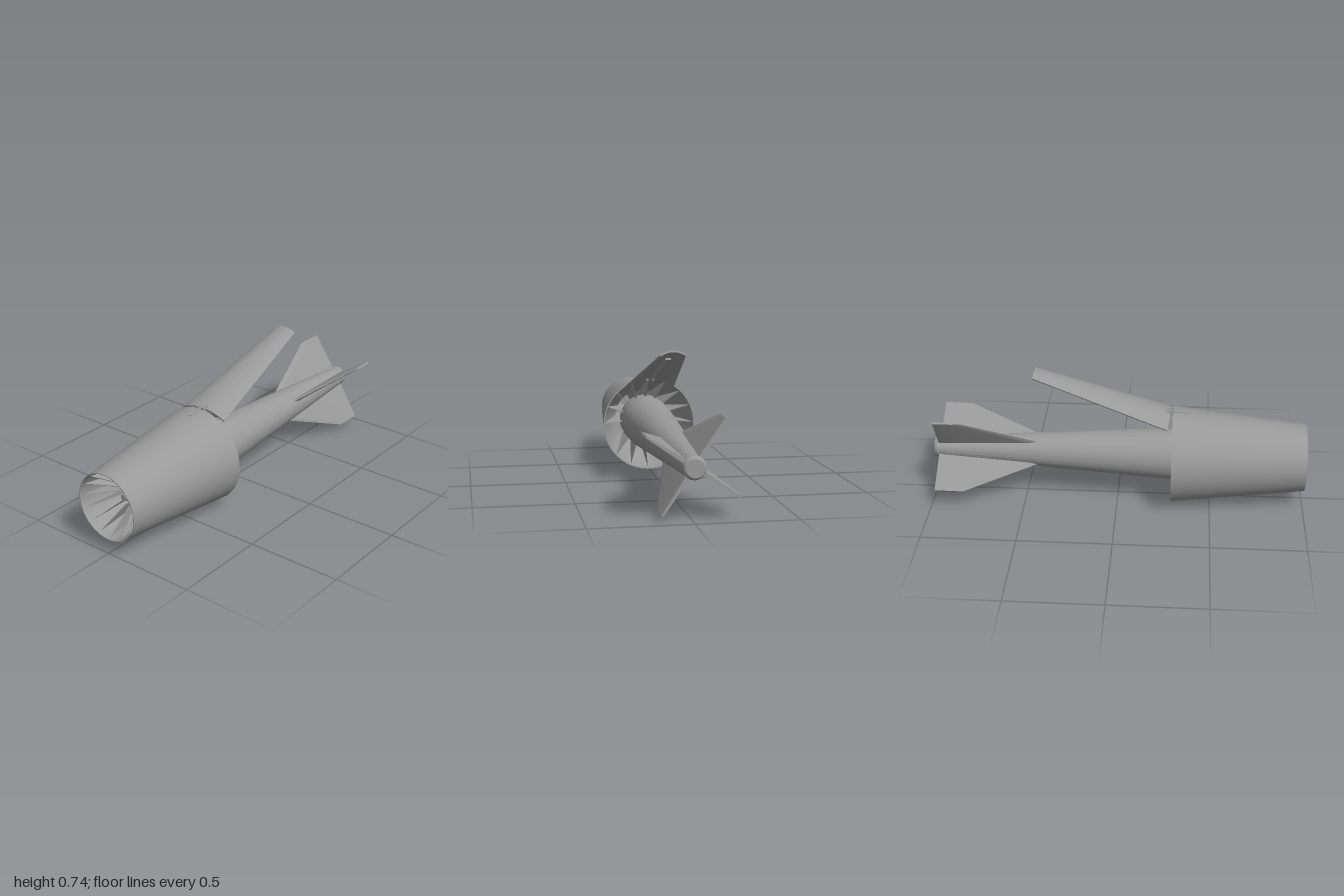
import * as THREE from 'three';
import { toCreasedNormals } from 'three/addons/utils/BufferGeometryUtils.js';

const AXIS_Y = 0.258; // height of the long axis

// Turned part around z; profile points are [z, radius]
function revolve(profile) {
  const g = new THREE.LatheGeometry(profile.map(([z, r]) => new THREE.Vector2(r, z)), 64);
  g.rotateX(Math.PI / 2);
  return toCreasedNormals(g, 0.35);
}

// Closed solid through matching loops (even point count), capped at both ends
function loft(loops) {
  const n = loops[0].length, index = [];
  for (let k = 0; k < loops.length - 1; k++) {
    for (let i = 0; i < n; i++) {
      const a = k * n + i, b = k * n + (i + 1) % n;
      index.push(a, b, b + n, a, b + n, a + n);
    }
  }
  const last = (loops.length - 1) * n;
  for (let i = 0; i < n / 2 - 1; i++) {
    const [a, b, c, d] = [i, i + 1, n - 2 - i, n - 1 - i];
    index.push(a, c, b, a, d, c);
    index.push(last + a, last + b, last + c, last + a, last + c, last + d);
  }
  const g = new THREE.BufferGeometry();
  g.setAttribute('position', new THREE.Float32BufferAttribute(loops.flat(2), 3));
  g.setIndex(index);
  return toCreasedNormals(g, 0.35);
}

// Curved strip whose crown lies on y = 0
function petalSection(z, r, thickness) {
  const half = 0.615, steps = 16, loop = [];
  for (let i = 0; i <= steps; i++) {
    const a = -half + 2 * half * i / steps;
    loop.push([r * Math.sin(a), r * (Math.cos(a) - 1), z]);
  }
  const q = r - thickness;
  for (let i = steps; i >= 0; i--) {
    const a = -half + 2 * half * i / steps;
    loop.push([q * Math.sin(a), q * Math.cos(a) - r, z]);
  }
  return loop;
}

// Wedge-nosed fin section at radius y
function finSection(y, lead, trail, t) {
  return [[0.001, lead], [t, lead - 0.05], [t, trail], [-t, trail], [-t, lead - 0.05], [-0.001, lead]]
    .map(([x, z]) => [x, y, z]);
}

export function createModel() {
  const grey = new THREE.MeshStandardMaterial({ color: 0x999999 });
  grey.name = 'grey metal';
  const root = new THREE.Group();
  root.name = 'finnedDuctedBody';

  const add = (parent, name, geometry, x = 0, y = 0, z = 0) => {
    const m = new THREE.Mesh(geometry, grey);
    m.name = name;
    m.position.set(x, y, z);
    parent.add(m);
    return m;
  };

  const core = new THREE.Group();
  core.name = 'core';
  core.position.y = AXIS_Y;
  root.add(core);

  // Tapered body with rounded tail and pointed hub
  add(core, 'body', revolve([
    [-1, 0], [-1, 0.044], [-0.994, 0.052], [-0.98, 0.057], [-0.965, 0.055],
    [0.29, 0.14], [0.48, 0.14], [0.72, 0.07], [0.8, 0.065], [0.8, 0.045],
    [0.88, 0.017], [0.88, 0],
  ]));
  add(core, 'hubRing', new THREE.TorusGeometry(0.068, 0.005, 8, 48), 0, 0, 0.79);

  // Cowl with a narrowing intake and widening outlet
  add(core, 'cowl', revolve([
    [0.29, 0.258], [1, 0.18], [1, 0.176], [0.72, 0.126], [0.6, 0.155],
    [0.34, 0.247], [0.29, 0.252], [0.29, 0.258],
  ]));

  // Sixteen radial vanes inside the cowl, drawn as (z, radius)
  const outline = [[0.985, 0.177], [0.84, 0.065], [0.72, 0.065], [0.5, 0.13], [0.4, 0.135], [0.32, 0.25]];
  const vane = new THREE.ExtrudeGeometry(
    new THREE.Shape(outline.map(([z, r]) => new THREE.Vector2(z, r))),
    { depth: 0.005, bevelEnabled: false });
  vane.translate(0, 0, -0.0025);
  vane.rotateY(-Math.PI / 2);
  for (let i = 0; i < 16; i++) add(core, 'vane', vane).rotation.z = i * Math.PI / 8;

  // Four swept tail fins
  const fin = loft([
    finSection(0.04, -0.32, -0.97, 0.011),
    finSection(0.268, -0.82, -0.97, 0.005),
  ]);
  for (let i = 0; i < 4; i++) {
    add(core, 'tailFin', fin).rotation.z = THREE.MathUtils.degToRad(33.5 - 90 + i * 90);
  }

  // Raised petal hinged to the rear of the cowl
  const petal = new THREE.Group();
  petal.name = 'petal';
  petal.position.set(0, 0.519, 0.277);
  petal.rotation.x = Math.atan2(0.222, 0.715);
  root.add(petal);
  add(petal, 'petalSkin', loft([petalSection(0, 0.24, 0.008), petalSection(-0.748, 0.115, 0.008)]));
  // Twin rods along the underside, joined near the free end
  for (const x of [-0.008, 0.008]) {
    add(petal, 'petalRod', new THREE.CylinderGeometry(0.004, 0.004, 0.58, 10), x, -0.013, -0.31)
      .rotation.x = Math.PI / 2;
  }
  add(petal, 'rodBracket', new THREE.BoxGeometry(0.028, 0.014, 0.02), 0, -0.012, -0.6);

  // Hinge knuckles, pin and strap
  for (const x of [-0.016, 0.016]) {
    add(root, 'hingeKnuckle', new THREE.BoxGeometry(0.014, 0.02, 0.05), x, 0.518, 0.271);
  }
  add(root, 'hingePin', new THREE.CylinderGeometry(0.006, 0.006, 0.046, 12), 0, 0.518, 0.27)
    .rotation.z = Math.PI / 2;
  add(root, 'hingeStrap', new THREE.BoxGeometry(0.014, 0.008, 0.1), 0, 0.512, 0.325)
    .rotation.x = 0.11;

  return root;
}
